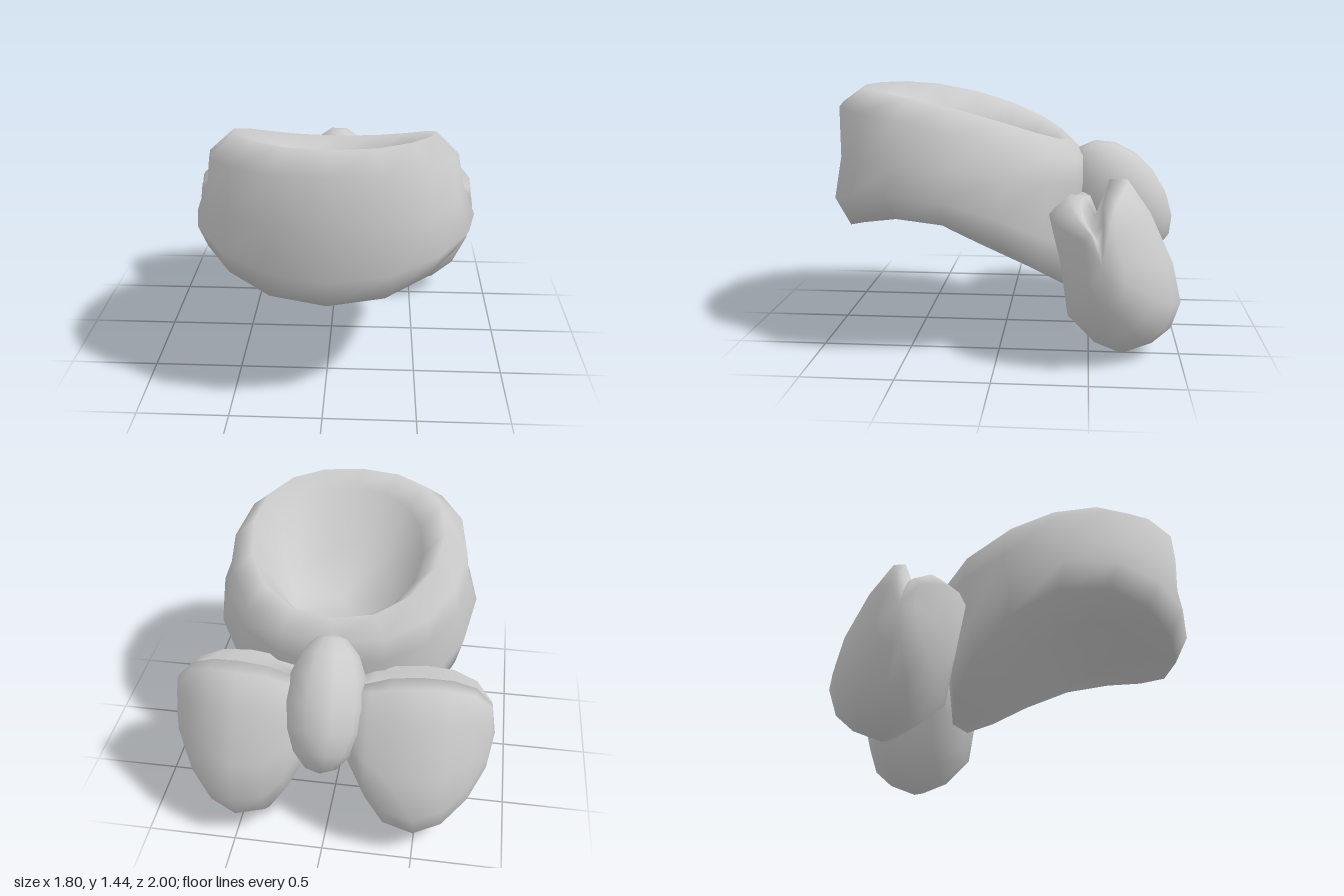
import * as THREE from 'three';

// Closed smooth skin over rings of equal length, pinched to a point at each end.
function loft(rings, start, end) {
  const n = rings[0].length, pos = [], idx = [];
  rings.forEach(r => r.forEach(p => pos.push(...p)));
  const a = rings.length * n, b = a + 1;
  pos.push(...start, ...end);
  const last = (rings.length - 1) * n;
  for (let j = 0; j < n; j++) {
    const k = (j + 1) % n;
    idx.push(a, k, j, b, last + j, last + k);
    for (let i = 0; i < rings.length - 1; i++) {
      const p = i * n;
      idx.push(p + j, p + k, p + n + k, p + j, p + n + k, p + n + j);
    }
  }
  // turn the faces outwards if the enclosed volume is negative
  const v = i => new THREE.Vector3().fromArray(pos, i * 3);
  let volume = 0;
  for (let i = 0; i < idx.length; i += 3) volume += v(idx[i]).dot(v(idx[i + 1]).cross(v(idx[i + 2])));
  if (volume < 0) idx.reverse();
  const g = new THREE.BufferGeometry();
  g.setAttribute('position', new THREE.Float32BufferAttribute(pos, 3));
  g.setIndex(idx);
  g.computeVertexNormals();
  return g;
}

// Slightly squared oval ring: centre x, half width, z and y at the front, y at the sides, z and y at the back.
function ovalRing([cx, rx, zf, yf, ys, zb, yb]) {
  const soft = v => Math.sign(v) * Math.abs(v) ** 0.92;
  return Array.from({ length: 16 }, (_, i) => {
    const a = i / 16 * Math.PI * 2, t = soft(Math.cos(a)), s = soft(Math.sin(a));
    const y = ys + (yf - yb) / 2 * t + ((yf + yb) / 2 - ys) * t * t;
    return [cx + rx * s, y, (zf + zb) / 2 + (zf - zb) / 2 * t];
  });
}

export function createModel() {
  const model = new THREE.Group();
  const grey = new THREE.MeshStandardMaterial({ color: 0xcccccc });
  grey.name = 'light grey';
  const add = (name, geometry) => {
    const m = new THREE.Mesh(geometry, grey);
    m.name = name;
    model.add(m);
    return m;
  };

  // Thick tilted cup: underside, lower lip, outer wall, rim, and a hollow that ramps up to the back rim
  const cup = [
    [0.02, 0.42, 0.60, 0.78, 0.66, -0.08, 0.45],
    [0.02, 0.72, 0.92, 0.63, 0.76, -0.40, 0.28],
    [0.035, 0.78, 1.00, 0.80, 0.90, -0.43, 0.52],
    [0.03, 0.72, 0.965, 1.05, 1.06, -0.48, 0.90],
    [0.025, 0.69, 0.97, 1.34, 1.24, -0.47, 1.04],
    [0.03, 0.56, 0.83, 1.44, 1.36, -0.37, 1.14],
    [0.05, 0.46, 0.72, 1.36, 1.22, -0.28, 1.07],
    [0.06, 0.29, 0.50, 1.08, 0.93, -0.18, 0.95],
  ].map(ovalRing);
  add('cup', loft(cup, [0.02, 0.64, 0.2], [0.06, 0.92, 0.14]));

  // Bow loops: a creased side profile (z, y) swept outwards and scaled
  const profile = [
    [-0.27, 0.79], [-0.38, 0.88], [-0.45, 0.85], [-0.52, 0.79], [-0.60, 0.97], [-0.70, 0.97],
    [-0.82, 0.80], [-0.95, 0.52], [-1.00, 0.30], [-0.95, 0.15], [-0.85, 0.06],
    [-0.70, 0.00], [-0.54, 0.04], [-0.38, 0.22], [-0.34, 0.50],
  ];
  // x, height scale, depth scale, centre height, centre z, crease depth
  const sections = [
    [0.12, 0.45, 0.55, 0.66, -0.64, 0.08], [0.22, 0.70, 0.80, 0.56, -0.63, 0.08],
    [0.33, 0.92, 0.95, 0.49, -0.63, 0.05], [0.50, 1.00, 1.00, 0.47, -0.63, 0.03],
    [0.65, 0.93, 0.90, 0.49, -0.61, 0.02], [0.78, 0.74, 0.65, 0.53, -0.58, 0.01],
    [0.87, 0.44, 0.30, 0.58, -0.57, 0],
  ];
  for (const side of [1, -1]) {
    const rings = sections.map(([x, sy, sz, cy, cz, crease]) => profile.map(([z, y], i) => {
      const pinch = i === 3 ? -crease : i === 12 ? crease : 0;
      return [side * x, cy + (y - 0.47) * sy + pinch, cz + (z + 0.63) * sz];
    }));
    add(side > 0 ? 'leftBowLoop' : 'rightBowLoop',
      loft(rings, [side * 0.06, 0.7, -0.64], [side * 0.9, 0.6, -0.56]));
  }

  // Tilted knot in the middle of the bow
  const knot = add('bowKnot', new THREE.SphereGeometry(1, 10, 8));
  knot.scale.set(0.225, 0.38, 0.26);
  knot.position.set(0.02, 0.79, -0.67);
  knot.rotation.x = 0.68;

  return model;
}
